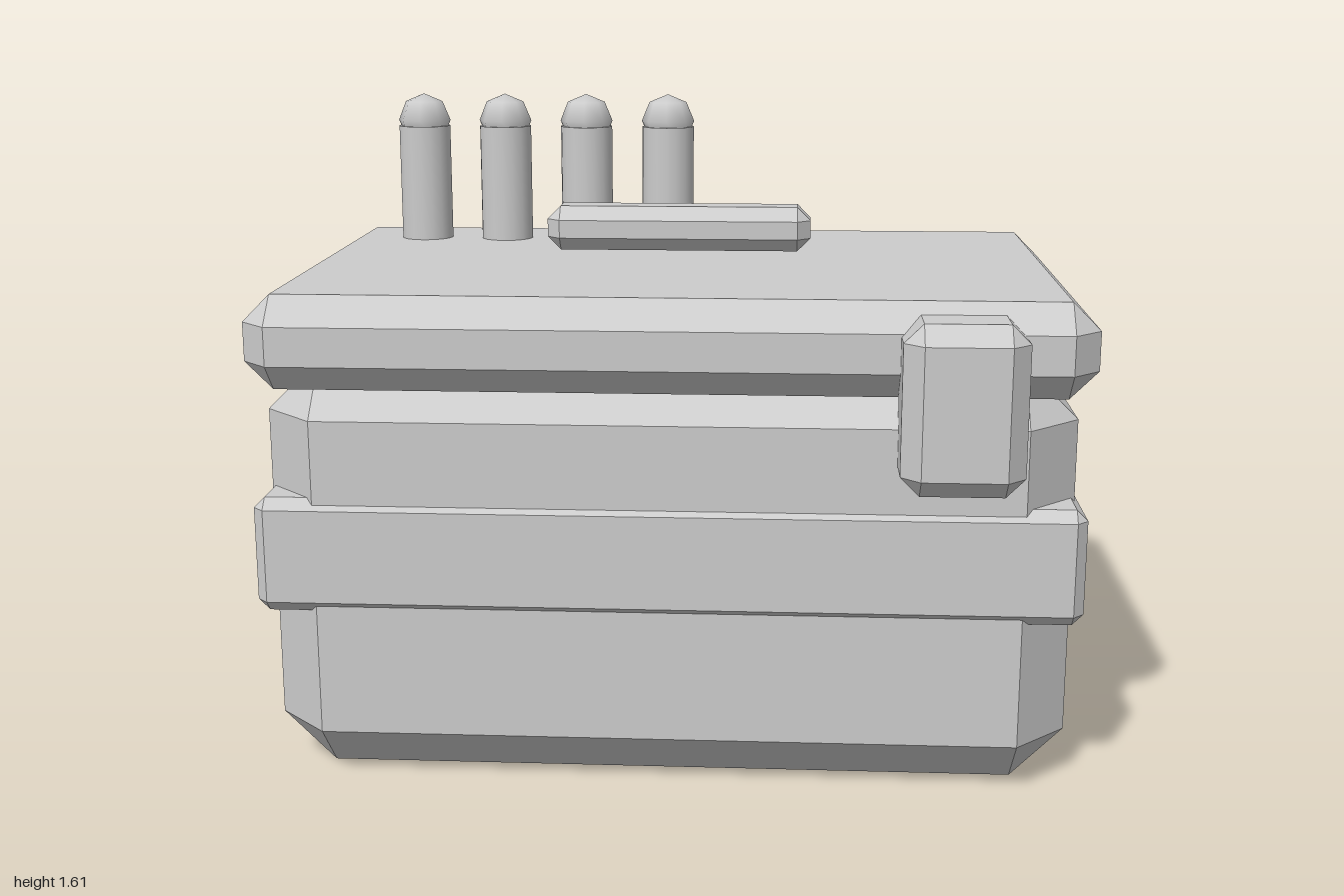
import * as THREE from 'three';
import { ConvexGeometry } from 'three/addons/geometries/ConvexGeometry.js';

const grey = new THREE.MeshStandardMaterial({ color: 0xcccccc });
grey.name = 'grey';

// Box between two corners with every edge cut by a flat chamfer c
function chamferBox(name, min, max, c) {
  const lo = new THREE.Vector3(...min), hi = new THREE.Vector3(...max);
  const centre = lo.clone().add(hi).multiplyScalar(0.5);
  const half = hi.clone().sub(lo).multiplyScalar(0.5);
  const points = [];
  for (const sx of [-1, 1]) for (const sy of [-1, 1]) for (const sz of [-1, 1]) {
    for (let axis = 0; axis < 3; axis++) {
      // Keep full size along one axis, pull in along the other two
      const p = half.clone().subScalar(c);
      p.setComponent(axis, half.getComponent(axis));
      points.push(p.multiply(new THREE.Vector3(sx, sy, sz)));
    }
  }
  const mesh = new THREE.Mesh(new ConvexGeometry(points), grey);
  mesh.name = name;
  mesh.position.copy(centre);
  return mesh;
}

// Upright peg with a rounded cap
function peg(x, z) {
  const group = new THREE.Group();
  group.name = 'peg';
  const shaft = new THREE.Mesh(new THREE.CylinderGeometry(0.072, 0.072, 0.335, 16), grey);
  shaft.name = 'pegShaft';
  shaft.position.y = 1.35;
  const cap = new THREE.Mesh(new THREE.SphereGeometry(0.073, 8, 4), grey);
  cap.name = 'pegCap';
  cap.position.y = 1.533;
  group.add(shaft, cap);
  group.position.set(x, 0, z);
  return group;
}

export function createModel() {
  const model = new THREE.Group();
  model.name = 'chest';
  model.add(
    chamferBox('body', [-0.97, 0, -0.685], [0.97, 1.035, 0.575], 0.127),
    chamferBox('band', [-0.987, 0.435, -0.7], [0.987, 0.718, 0.587], 0.027),
    chamferBox('lid', [-1, 0.975, -0.715], [1, 1.203, 0.597], 0.067),
    chamferBox('latch', [0.54, 0.775, 0.5], [0.825, 1.175, 0.715], 0.045),
    chamferBox('handle', [-0.345, 1.233, -0.128], [0.337, 1.347, 0.012], 0.034)
  );
  // Row of pegs at the back of the lid
  for (let i = 0; i < 4; i++) model.add(peg(-0.745 + i * 0.2285, -0.458));
  return model;
}
